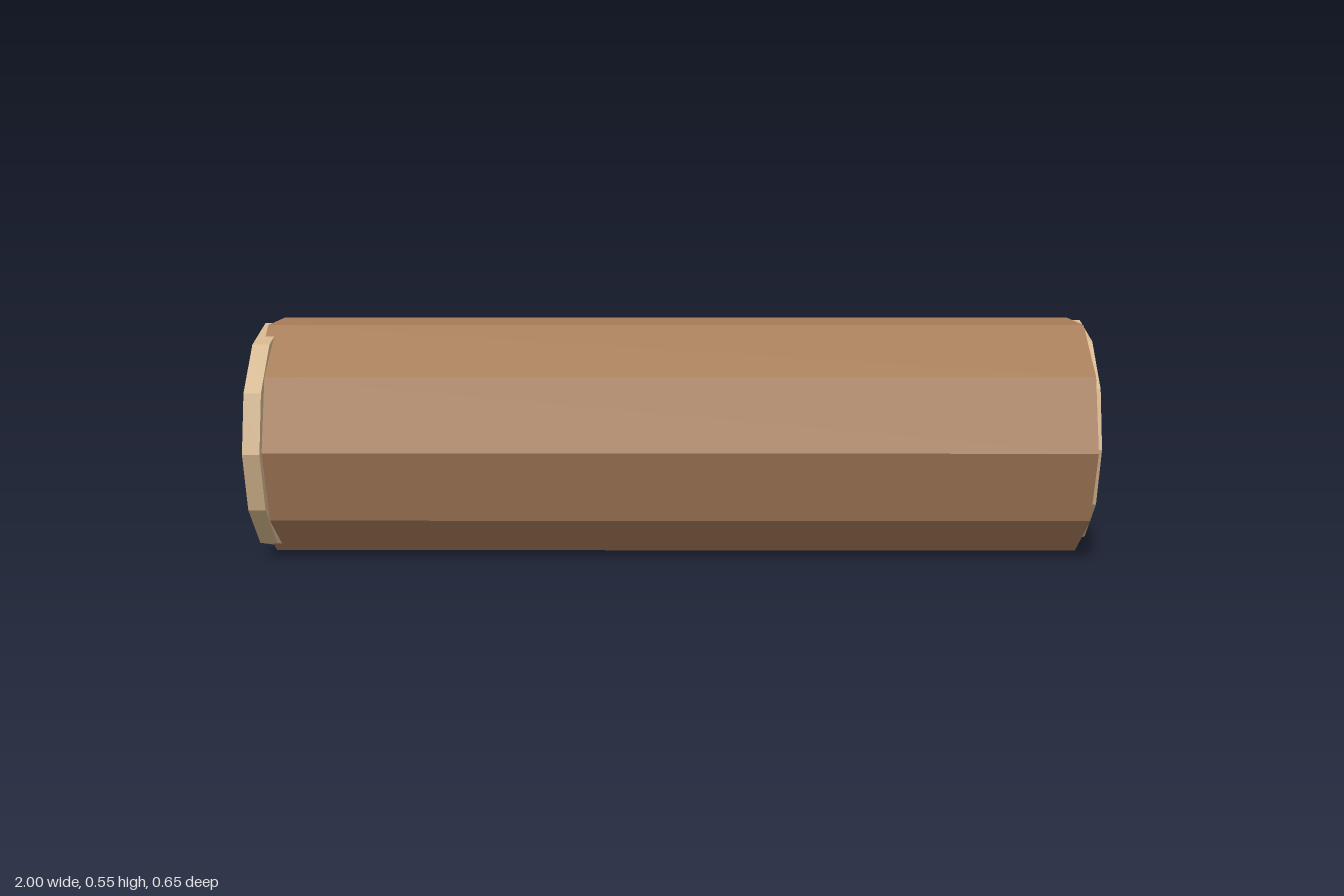
import * as THREE from 'three';

const CENTRE_Y = 0.275;
const YAW = -0.0365;

function material(color) {
  return new THREE.MeshStandardMaterial({ color, flatShading: true });
}

// Prism lying along x, with corners at its +z and -z sides
function lyingPrism(name, radius, length, sides, mat) {
  const geometry = new THREE.CylinderGeometry(radius, radius, length, sides);
  geometry.rotateZ(-Math.PI / 2);
  const mesh = new THREE.Mesh(geometry, mat);
  mesh.name = name;
  mesh.position.y = CENTRE_Y;
  mesh.rotation.y = YAW;
  return mesh;
}

export function createModel() {
  const model = new THREE.Group();
  model.name = 'log';

  // Ten-sided trunk, turned slightly about the vertical
  model.add(lyingPrism('trunk', 0.289, 1.94, 10, material(0xa67c58)));

  // Pale twelve-sided cut ends
  const cutWood = material(0xd2b48c);
  for (const side of [-1, 1]) {
    const end = lyingPrism(side > 0 ? 'leftCutEnd' : 'rightCutEnd', 0.274, 0.04, 12, cutWood);
    end.position.x = side * 0.97;
    model.add(end);
  }

  // Six-sided branch stub rising from the back
  const tip = new THREE.Vector3(0.464, 0.476, -0.244);
  const direction = new THREE.Vector3(0.79, 0.18, -0.59).normalize();
  const length = 0.22;
  const geometry = new THREE.CylinderGeometry(0.049, 0.049, length, 6);
  geometry.rotateX(Math.PI / 2);
  const branch = new THREE.Mesh(geometry, material(0x705543));
  branch.name = 'branchStub';
  branch.position.copy(tip).addScaledVector(direction, -length / 2);
  branch.lookAt(tip);
  model.add(branch);

  return model;
}
